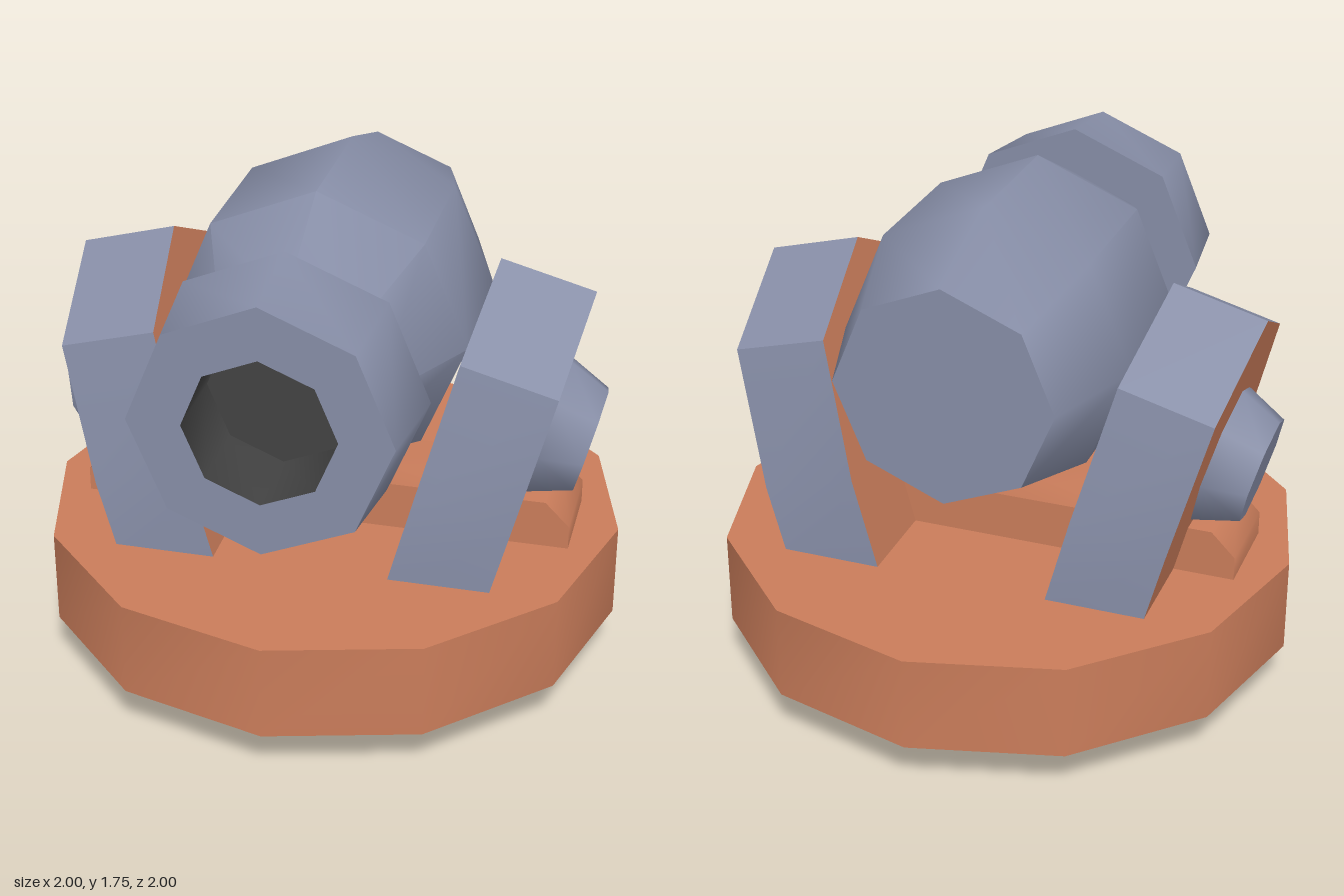
import * as THREE from 'three';
import { toCreasedNormals } from 'three/addons/utils/BufferGeometryUtils.js';

const CREASE = 0.87;
const orange = new THREE.MeshStandardMaterial({ name: 'copperOrange', color: 0xc97c5a });
const steel = new THREE.MeshStandardMaterial({ name: 'steelBlue', color: 0x868da6 });
const dark = new THREE.MeshStandardMaterial({ name: 'boreDark', color: 0x424242 });

function part(name, geometry, material) {
  const mesh = new THREE.Mesh(toCreasedNormals(geometry, CREASE), material);
  mesh.name = name;
  return mesh;
}

// Octagonal turned part along +z, from [radius, z] pairs
function turned(name, profile, material) {
  const points = profile.map(([r, z]) => new THREE.Vector2(r, z));
  return part(name, new THREE.LatheGeometry(points, 8).rotateX(Math.PI / 2), material);
}

// Extruded [x, y] outline, centred on its thickness
function slab(outline, depth) {
  const shape = new THREE.Shape(outline.map(([x, y]) => new THREE.Vector2(x, y)));
  return new THREE.ExtrudeGeometry(shape, { depth, bevelEnabled: false }).translate(0, 0, -depth / 2);
}

// Leaning cheek plate with its tapered bolt, built for the +x side
function createBracket(name) {
  const side = new THREE.Group();
  side.name = name;
  const lean = new THREE.Group();
  lean.position.set(0.47, 0.5, 0);
  lean.rotation.z = -Math.PI / 12;
  side.add(lean);

  const outline = [[-0.5, -0.1], [0.5, -0.1], [0.5, 0.28], [0.415, 0.756], [0, 0.96], [-0.415, 0.756], [-0.5, 0.28]];
  lean.add(part('cheekPlate', slab(outline, 0.33).rotateY(Math.PI / 2), [orange, steel]));

  const bolt = part('bolt', new THREE.CylinderGeometry(0.19, 0.25, 0.15, 8).rotateZ(-Math.PI / 2), steel);
  bolt.position.set(0.24, 0.437, 0);
  lean.add(bolt);
  return side;
}

export function createModel() {
  const model = new THREE.Group();
  model.name = 'cannonTurret';

  // Round base
  const foot = part('foot', new THREE.CylinderGeometry(0.655, 0.655, 0.17, 12), orange);
  foot.position.y = 0.085;
  const base = part('base', new THREE.CylinderGeometry(1, 1, 0.33, 12), orange);
  base.position.y = 0.335;
  model.add(foot, base);

  // Chamfered cross bar running under the barrel
  const bar = [[-0.85, 0.49], [0.85, 0.49], [0.85, 0.583], [0.767, 0.667], [-0.767, 0.667], [-0.85, 0.583]];
  model.add(part('crossBar', slab(bar, 0.33), orange));

  // Brackets on both sides
  const left = createBracket('leftBracket');
  const right = createBracket('rightBracket');
  right.rotation.y = Math.PI;
  model.add(left, right);

  // Barrel, muzzle and recessed bore
  const gun = new THREE.Group();
  gun.name = 'gun';
  gun.position.y = 1.25;
  gun.add(
    turned('barrel', [[0, -0.635], [0.375, -0.635], [0.5, -0.25], [0.5, 0.25], [0.295, 0.645]], steel),
    turned('muzzle', [[0, 0.64], [0.46, 0.64], [0.42, 0.96], [0.245, 0.96]], steel),
    turned('bore', [[0.245, 0.96], [0.245, 0.68], [0, 0.68]], dark),
  );
  model.add(gun);
  return model;
}
